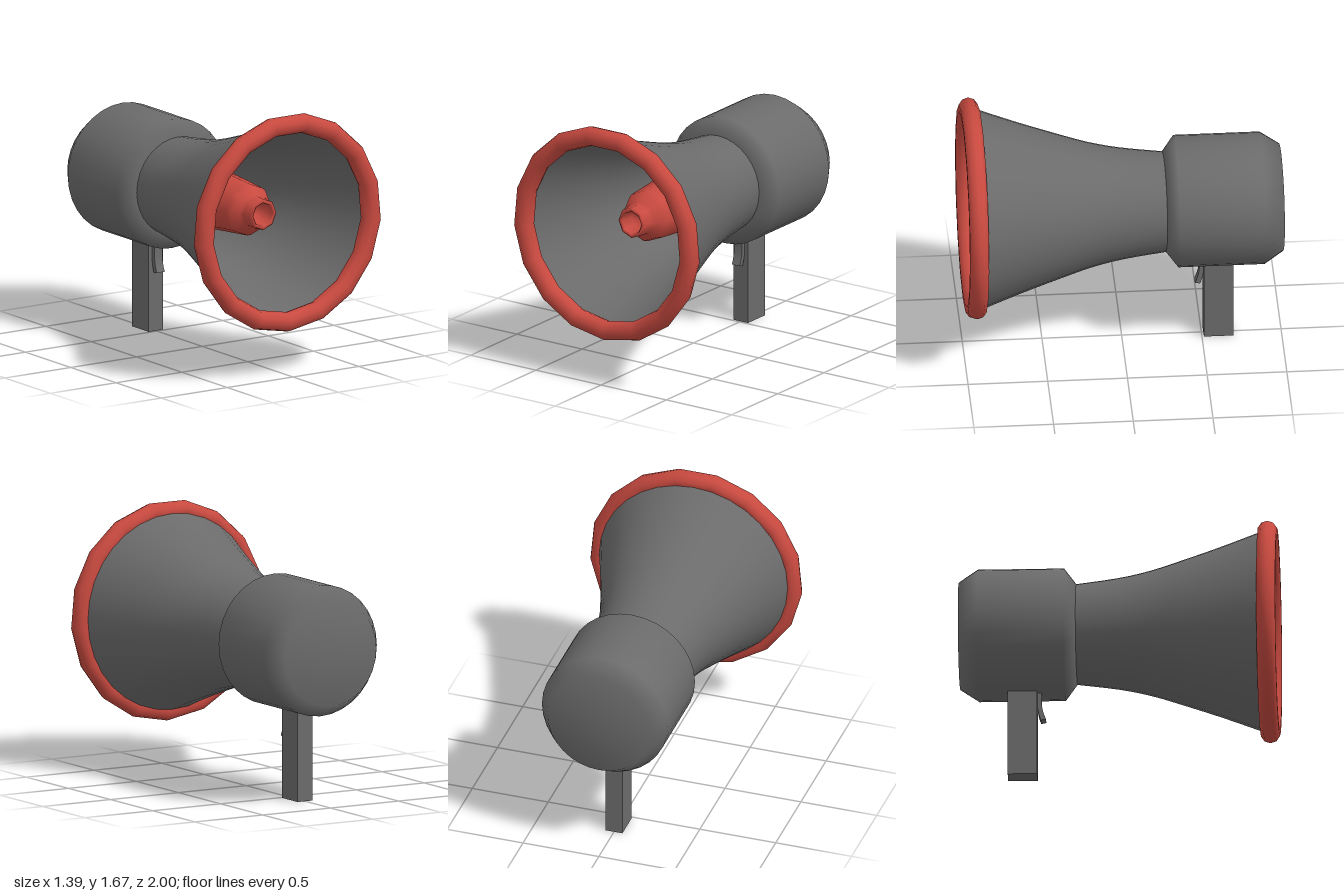
import * as THREE from 'three';

const AXIS_Y = 0.98; // height of the horn's axis
const grey = new THREE.MeshStandardMaterial({ color: 0x6b6b6b });
const greyOpen = new THREE.MeshStandardMaterial({ color: 0x6b6b6b, side: THREE.DoubleSide });
const red = new THREE.MeshStandardMaterial({ color: 0xc94a40 });

function part(name, geometry, material) {
  const mesh = new THREE.Mesh(geometry, material);
  mesh.name = name;
  return mesh;
}

// Turned part along z: profile of [radius, z], listed from back to front.
function turned(name, profile, sides, material) {
  const points = profile.map(([r, z]) => new THREE.Vector2(r, z));
  const geometry = new THREE.LatheGeometry(points, sides).rotateX(Math.PI / 2);
  geometry.translate(0, AXIS_Y, 0);
  return part(name, geometry, material);
}

export function createModel() {
  const group = new THREE.Group();
  group.name = 'megaphone';

  // Rear housing, closed at both ends; its front forms the floor of the horn
  group.add(turned('housing', [
    [0, -1], [0.337, -1], [0.415, -0.88], [0.415, -0.34], [0.315, -0.265], [0, -0.265],
  ], 32, grey));

  // Flared horn, an open thin shell
  const flare = new THREE.SplineCurve([
    [0.315, -0.27], [0.35, 0], [0.393, 0.2], [0.455, 0.4], [0.535, 0.64], [0.622, 0.88], [0.635, 0.92],
  ].map(([r, z]) => new THREE.Vector2(r, z)));
  group.add(turned('horn', flare.getPoints(18).map((p) => [p.x, p.y]), 32, greyOpen));

  // Chunky ring round the mouth, with one corner at the bottom
  const rim = new THREE.TorusGeometry(0.637, 0.0625, 10, 17).rotateZ(-Math.PI / 2);
  rim.translate(0, AXIS_Y, 0.9375);
  group.add(part('rim', rim, red));

  // Eight-sided inner sound tube with a stepped, hollow tip
  group.add(turned('soundTube', [
    [0.235, -0.27], [0.168, 0.5], [0.155, 0.54], [0.115, 0.58], [0.105, 0.6],
    [0.1, 0.67], [0.085, 0.68], [0.075, 0.67], [0.065, 0.58], [0, 0.56],
  ], 8, red));

  // Grip
  const grip = new THREE.BoxGeometry(0.11, 0.62, 0.185);
  grip.translate(0, 0.31, -0.605);
  group.add(part('grip', grip, grey));

  // Curved trigger, drawn in the (z, y) plane and extruded across x
  const outline = new THREE.Shape();
  outline.moveTo(-0.515, 0.6);
  outline.lineTo(-0.515, 0.5);
  outline.quadraticCurveTo(-0.51, 0.43, -0.49, 0.38);
  outline.lineTo(-0.458, 0.386);
  outline.quadraticCurveTo(-0.483, 0.44, -0.485, 0.5);
  outline.lineTo(-0.485, 0.6);
  const trigger = new THREE.ExtrudeGeometry(outline, { depth: 0.06, bevelEnabled: false, curveSegments: 5 });
  trigger.translate(0, 0, -0.03).rotateY(-Math.PI / 2);
  group.add(part('trigger', trigger, grey));

  return group;
}
